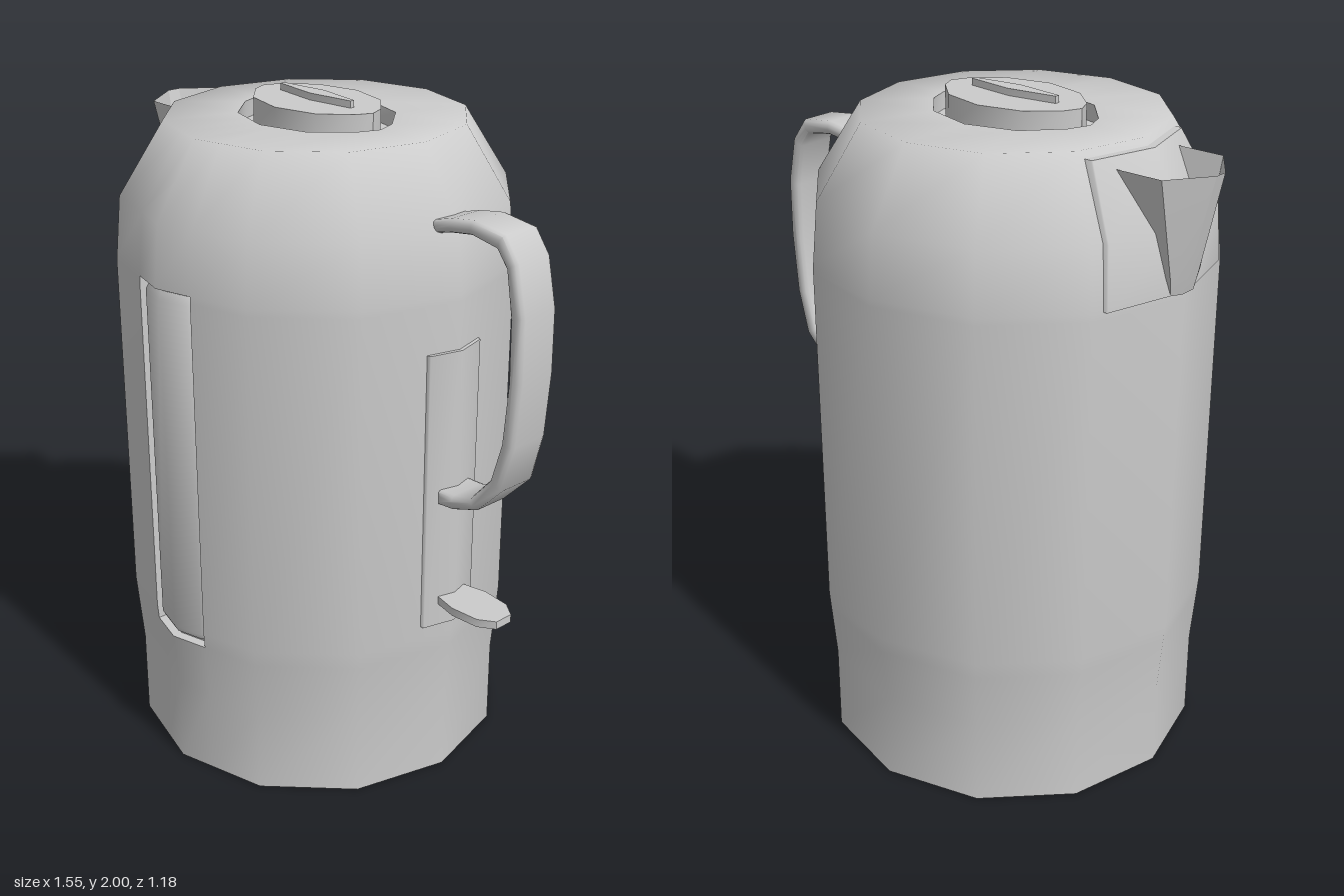
import * as THREE from 'three';
import { toCreasedNormals } from 'three/addons/utils/BufferGeometryUtils.js';

const TAN = Math.tan(Math.PI / 12); // fall-off of a facet beside a corner of the 12-sided body
const mat = new THREE.MeshStandardMaterial({ color: 0xcccccc });
const matDouble = new THREE.MeshStandardMaterial({ color: 0xcccccc, side: THREE.DoubleSide });

// Skin a stack of rings [y, [[x, z], ...]] from bottom to top, with end caps
function loft(rows, crease = 0.6, topCap = true) {
  const n = rows[0][1].length, pos = [], idx = [];
  rows.forEach(([y, ring]) => ring.forEach(([x, z]) => pos.push(x, y, z)));
  for (let r = 0; r < rows.length - 1; r++) {
    for (let i = 0; i < n; i++) {
      const a = r * n + i, b = r * n + (i + 1) % n;
      idx.push(a, b, b + n, a, b + n, a + n);
    }
  }
  const last = (rows.length - 1) * n;
  for (let k = 1; k < n - 1; k++) {
    const i = (2 + k) % n, j = (3 + k) % n;
    idx.push(2, j, i);
    if (topCap) idx.push(last + 2, last + i, last + j);
  }
  const g = new THREE.BufferGeometry();
  g.setAttribute('position', new THREE.Float32BufferAttribute(pos, 3));
  g.setIndex(idx);
  return toCreasedNormals(g, crease);
}

// Strip bent around a body corner that points to +z; rows are [y, halfWidth, radius]
function strip(rows, thick, bevel) {
  return loft(rows.map(([y, w, r]) => {
    const p = (x, d) => [x, r - d - Math.abs(x) * TAN];
    return [y, [p(-w, bevel), p(bevel - w, 0), p(0, 0), p(w - bevel, 0), p(w, bevel),
      p(w, thick), p(0, thick), p(-w, thick)]];
  }), 0.9);
}

// 12-point outlines, starting at the front and turning towards +x
const circle = (r) => Array.from({ length: 12 }, (_, i) =>
  [r * Math.sin(i * Math.PI / 6), r * Math.cos(i * Math.PI / 6)]);
const OVAL = [[0, 0.21], [0.15, 0.167], [0.24, 0.067], [0.265, 0]];
const oval = (sx, sz) => Array.from({ length: 12 }, (_, i) => {
  const q = i % 6, [x, z] = OVAL[q <= 3 ? q : 6 - q];
  return [x * sx * (i > 6 ? -1 : 1), z * sz * (i > 3 && i < 9 ? -1 : 1)];
});

// Outline with extra columns beside the front corner, pushed in by depth for the window
function withWindow(out, depth = 0) {
  const mix = (p) => [out[0][0] + (p[0] - out[0][0]) * 0.39, out[0][1] + (p[1] - out[0][1]) * 0.39];
  const l = mix(out[11]), r = mix(out[1]), inward = ([x, z]) => [x, z - depth];
  return [l, inward(l), inward(out[0]), inward(r), r, ...out.slice(1)];
}

export function createModel() {
  const root = new THREE.Group();
  root.name = 'kettle';
  const body = new THREE.Group();
  body.name = 'bodyAssembly';
  body.position.x = -0.098;
  root.add(body);
  const add = (name, geometry, turn = 0, material = mat, parent = body) => {
    const m = new THREE.Mesh(geometry, material);
    m.name = name;
    m.rotation.y = turn;
    parent.add(m);
  };

  // Body with window recess at the front and lid recess on top
  const ring = (y, r, depth) => [y, withWindow(circle(r), depth)];
  add('body', loft([
    ring(0, 0.572), ring(0.27, 0.572), ring(0.44, 0.586), ring(0.44, 0.586, 0.03),
    ring(0.49, 0.59, 0.03), ring(1.53, 0.59, 0.03), ring(1.55, 0.589, 0.03), ring(1.55, 0.589),
    ring(1.73, 0.572), ring(1.94, 0.44),
    [1.94, withWindow(oval(1, 1))], [1.89, withWindow(oval(1, 1))],
  ], 1.05));

  // Level window
  add('levelWindow', strip([
    [0.452, 0.1, 0.568], [0.475, 0.106, 0.58], [1.518, 0.106, 0.58], [1.54, 0.1, 0.568],
  ], 0.024, 0.012));

  // Lid and its grip
  add('lid', loft([[1.89, oval(0.887, 0.74)], [1.98, oval(0.887, 0.74)]]));
  const grip = [[-0.15, 0.007], [0, 0.027], [0.15, 0.007], [0.15, -0.007], [0, -0.027], [-0.15, -0.007]];
  add('lidGrip', loft([[1.97, grip], [2, grip]]));

  // Spout collar and open spout, turned to -x
  add('spoutCollar', strip([[1.55, 0.26, 0.6], [1.73, 0.252, 0.587], [1.92, 0.2, 0.476]], 0.03, 0.003), -Math.PI / 2);
  const cup = (w, back, side, lip, tip) =>
    [[-w, back], [-w, side], [-lip, tip], [lip, tip], [w, side], [w, back]];
  add('spout', loft([
    [1.55, cup(0.055, 0.54, 0.585, 0.025, 0.602)],
    [1.6, cup(0.07, 0.54, 0.592, 0.025, 0.615)],
    [1.89, cup(0.14, 0.45, 0.597, 0.02, 0.682)],
  ], 0.4, false), -Math.PI / 2, matDouble);

  // Switch plate and lever, turned to +x
  add('switchPlate', strip([[0.53, 0.1, 0.601], [1.39, 0.1, 0.601]], 0.03, 0.003), Math.PI / 2);
  const lever = [[-0.05, 0.57], [-0.07, 0.66], [-0.062, 0.75], [-0.03, 0.797],
    [0.03, 0.797], [0.062, 0.75], [0.07, 0.66], [0.05, 0.57]].reverse();
  add('switchLever', loft([[0.6, lever.map(([x, z]) => [x, z])], [0.625, lever]].map(
    ([y, p]) => [y, p.slice().reverse()])), Math.PI / 2);

  // Handle: flat band with rounded edges
  const outline = [
    [0.43, 1.757], [0.5, 1.777], [0.58, 1.79], [0.69, 1.777], [0.74, 1.71], [0.77, 1.57], [0.772, 1.39],
    [0.757, 1.2], [0.722, 1.06], [0.63, 0.965], [0.545, 0.935], [0.485, 0.93],
    [0.485, 0.975], [0.54, 0.977], [0.61, 1.0], [0.68, 1.08], [0.715, 1.2],
    [0.73, 1.38], [0.727, 1.56], [0.705, 1.69], [0.67, 1.735], [0.58, 1.75], [0.5, 1.738], [0.44, 1.722],
  ];
  const b = 0.015;
  const handle = new THREE.ExtrudeGeometry(new THREE.Shape(outline.map(([x, y]) => new THREE.Vector2(x, y))), {
    depth: 0.138 - 2 * b, bevelThickness: b, bevelSize: b, bevelOffset: -b, bevelSegments: 2,
  });
  handle.translate(0, 0, b - 0.069);
  add('handle', toCreasedNormals(handle, 0.9), 0, mat, root);
  return root;
}
